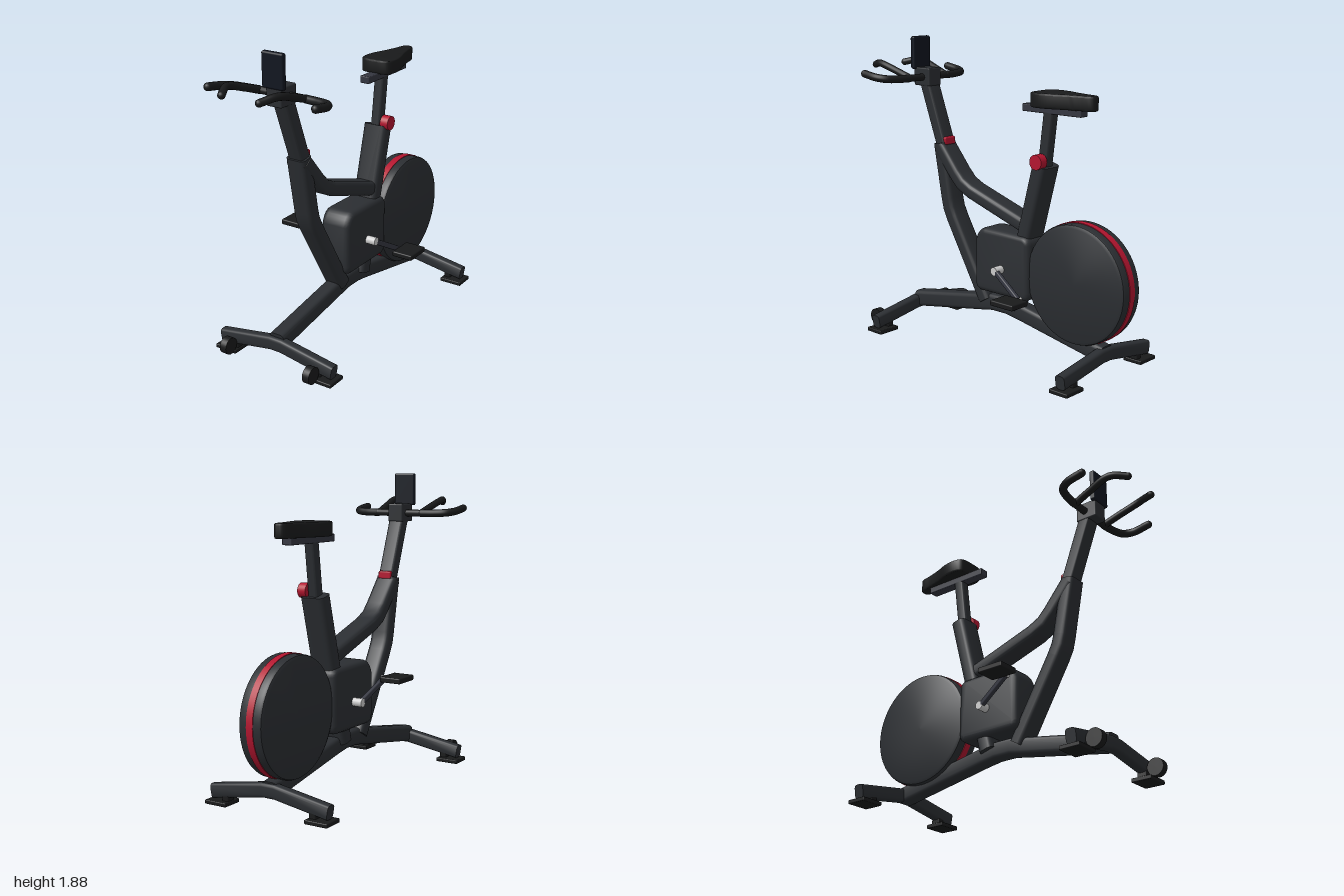
import * as THREE from 'three';
import { toCreasedNormals } from 'three/addons/utils/BufferGeometryUtils.js';
import { RoundedBoxGeometry } from 'three/addons/geometries/RoundedBoxGeometry.js';

const mat = (color) => new THREE.MeshStandardMaterial({ color });
const V = (x, y, z) => new THREE.Vector3(x, y, z);

// Rounded-rectangle tube (w across x, h deep) swept with mitres through [z, y] points
function sweep(path, w, h, r) {
  const section = [];
  [[1, 1], [-1, 1], [-1, -1], [1, -1]].forEach(([sx, sy], q) => {
    for (let k = 0; k <= 4; k++) {
      const a = (q + k / 4) * Math.PI / 2;
      section.push([sx * (w / 2 - r) + r * Math.cos(a), sy * (h / 2 - r) + r * Math.sin(a)]);
    }
  });
  const pts = path.map(([z, y]) => new THREE.Vector2(z, y));
  const dirs = pts.slice(1).map((p, i) => p.clone().sub(pts[i]).normalize());
  const m = section.length, pos = [], idx = [];
  pts.forEach((p, i) => {
    const d0 = dirs[Math.max(i - 1, 0)], d1 = dirs[Math.min(i, dirs.length - 1)];
    const t = d0.clone().add(d1).normalize(), mitre = 1 / t.dot(d1);
    for (const [a, b] of section) pos.push(a, p.y + t.x * b * mitre, p.x - t.y * b * mitre);
  });
  for (let i = 0; i < pts.length - 1; i++) {
    for (let j = 0; j < m; j++) {
      const a = i * m + j, b = i * m + (j + 1) % m;
      idx.push(a, b, b + m, a, b + m, a + m);
    }
  }
  const end = (pts.length - 1) * m;
  for (let j = 1; j < m - 1; j++) idx.push(0, j + 1, j, end, end + j, end + j + 1);
  const g = new THREE.BufferGeometry();
  g.setAttribute('position', new THREE.Float32BufferAttribute(pos, 3));
  g.setIndex(idx);
  return toCreasedNormals(g, 0.6);
}

export function createModel() {
  const root = new THREE.Group();
  const frame = mat(0x2b2e32), black = mat(0x191a1b), red = mat(0xb3152f);
  const slate = mat(0x343640), metal = mat(0xcccccc), glass = mat(0x10151f);

  const add = (name, geo, material, x = 0, y = 0, z = 0) => {
    const mesh = new THREE.Mesh(geo, material);
    mesh.name = name;
    mesh.position.set(x, y, z);
    root.add(mesh);
    return mesh;
  };
  const box = (name, material, w, h, d, x, y, z, r = 0.01) =>
    add(name, new RoundedBoxGeometry(w, h, d, 3, r), material, x, y, z);
  // Cylinder with its axis along x
  const disc = (name, material, r, width, x, y, z, seg = 32) =>
    add(name, new THREE.CylinderGeometry(r, r, width, seg).rotateZ(Math.PI / 2), material, x, y, z);
  // Straight bar between two points
  const bar = (name, material, a, b, w, h) => {
    const c = a.clone().add(b).multiplyScalar(0.5);
    const mesh = add(name, new RoundedBoxGeometry(w, h, a.distanceTo(b), 3, 0.008), material, c.x, c.y, c.z);
    mesh.lookAt(b);
  };

  // Frame tubes
  add('baseBeam', sweep([[0.72, 0.145], [0.12, 0.25], [0.04, 0.265], [-0.08, 0.265],
    [-0.18, 0.25], [-0.82, 0.13]], 0.1, 0.105, 0.025), frame);
  add('downTube', sweep([[0.48, 1.22], [0.415, 0.87], [0.4, 0.81], [0.37, 0.75], [0.09, 0.27]],
    0.13, 0.095, 0.028), frame);
  add('topTube', sweep([[0.48, 1.2], [0.345, 1.04], [0.29, 0.985], [0.21, 0.945], [-0.22, 0.805]],
    0.14, 0.09, 0.028), frame);
  add('seatTube', sweep([[-0.12, 0.27], [-0.36, 1.18]], 0.16, 0.1, 0.03), frame);
  add('handlebarStem', sweep([[0.46, 1.18], [0.62, 1.61]], 0.1, 0.08, 0.015), frame);
  add('seatPost', sweep([[-0.345, 1.1], [-0.395, 1.49]], 0.065, 0.07, 0.015), frame);
  box('stemClamp', red, 0.09, 0.05, 0.04, 0, 1.235, 0.447, 0.01);
  disc('seatKnob', red, 0.045, 0.055, 0.068, 1.205, -0.36);

  // Stabilisers and feet
  for (const [end, z] of [['front', 0.72], ['rear', -0.815]]) {
    const s = add(end + 'Stabiliser', sweep([[-0.4, 0.07], [-0.04, 0.13], [0.04, 0.13], [0.4, 0.07]],
      0.066, 0.085, 0.02), frame, 0, 0, z);
    s.rotation.y = Math.PI / 2;
    for (const side of [1, -1]) {
      box(end + 'Foot', black, 0.15, 0.025, 0.13, side * 0.345, 0.0125, z, 0.006);
      box(end + 'FootBlock', black, 0.045, 0.09, 0.06, side * 0.3, 0.06, z, 0.008);
    }
  }
  for (const side of [1, -1]) disc('transportWheel', black, 0.052, 0.045, side * 0.3, 0.065, 0.81);

  // Flywheel with a raised band round its rim
  const rim = [[0, -0.08], [0.335, -0.08], [0.352, -0.072], [0.357, -0.06],
    [0.357, 0.06], [0.352, 0.072], [0.335, 0.08], [0, 0.08]];
  const wheel = new THREE.LatheGeometry(rim.map(([r, x]) => new THREE.Vector2(r, x)), 72);
  add('flywheel', toCreasedNormals(wheel.rotateZ(Math.PI / 2), 0.5), frame, 0, 0.52, -0.64);
  disc('flywheelBand', red, 0.361, 0.044, 0, 0.52, -0.64, 72);

  // Drive housing, a rounded side outline extruded across x with bevelled cheeks
  const housing = new THREE.Shape();
  housing.moveTo(-0.08, 0.375).lineTo(0.26, 0.375).quadraticCurveTo(0.28, 0.375, 0.28, 0.4);
  housing.lineTo(0.28, 0.69).quadraticCurveTo(0.28, 0.715, 0.25, 0.715);
  housing.lineTo(-0.04, 0.72).quadraticCurveTo(-0.08, 0.72, -0.1, 0.66);
  housing.lineTo(-0.1, 0.4).quadraticCurveTo(-0.1, 0.375, -0.08, 0.375);
  const housingGeo = new THREE.ExtrudeGeometry(housing, {
    depth: 0.13, bevelThickness: 0.035, bevelSize: 0.03, bevelSegments: 3, curveSegments: 6,
  }).translate(0, 0, -0.065).rotateY(Math.PI / 2);
  add('driveHousing', toCreasedNormals(housingGeo, 0.6), frame);

  // Cranks and pedals, half a turn apart
  disc('crankAxle', metal, 0.026, 0.33, 0, 0.515, -0.095, 24);
  for (const s of [1, -1]) {
    const y = 0.515 - s * 0.125, z = -0.095 - s * 0.22;
    bar('crankArm', slate, V(s * 0.148, 0.515, -0.095), V(s * 0.19, y, z), 0.028, 0.034);
    disc('pedalSpindle', metal, 0.012, 0.07, s * 0.2, y, z, 16);
    box('pedal', black, 0.14, 0.034, 0.175, s * 0.27, y, z, 0.008);
  }

  // Saddle
  box('saddleRail', slate, 0.065, 0.045, 0.44, 0, 1.507, -0.42, 0.006);
  const half = [[0, -0.72], [0.025, -0.71], [0.045, -0.63], [0.07, -0.54], [0.102, -0.45],
    [0.11, -0.38], [0.095, -0.325], [0.06, -0.312], [0, -0.31]];
  const outline = half.concat(half.slice(1, -1).reverse().map(([x, z]) => [-x, z]));
  const curve = new THREE.CatmullRomCurve3(outline.map(([x, z]) => V(x * 0.92, -z, 0)), true);
  const saddleShape = new THREE.Shape(curve.getPoints(64).slice(0, -1).map((p) => new THREE.Vector2(p.x, p.y)));
  const saddleGeo = new THREE.ExtrudeGeometry(saddleShape, {
    depth: 0.064, bevelThickness: 0.011, bevelSize: 0.008, bevelSegments: 3,
  }).rotateX(-Math.PI / 2);
  add('saddle', toCreasedNormals(saddleGeo, 0.6), black, 0, 1.535, 0);

  // Handlebar hub, screen and grips
  box('handlebarHub', frame, 0.105, 0.115, 0.14, 0, 1.627, 0.63, 0.01);
  box('screen', glass, 0.145, 0.205, 0.036, 0, 1.775, 0.692, 0.012);
  const tube = (name, points, r) => {
    const path = new THREE.CatmullRomCurve3(points);
    add(name, new THREE.TubeGeometry(path, 40, r, 14), black);
    for (const p of [points[0], points[points.length - 1]])
      add(name + 'Cap', new THREE.SphereGeometry(r, 14, 10), black, p.x, p.y, p.z);
  };
  tube('handlebarCrossbar', [V(-0.17, 1.625, 0.622), V(0.17, 1.625, 0.622)], 0.022);
  for (const s of [1, -1]) {
    tube('outerGrip', [V(s * 0.16, 1.625, 0.622), V(s * 0.25, 1.626, 0.632), V(s * 0.32, 1.63, 0.655),
      V(s * 0.355, 1.638, 0.71), V(s * 0.36, 1.655, 0.815)], 0.024);
    tube('innerGrip', [V(s * 0.155, 1.625, 0.622), V(s * 0.165, 1.665, 0.74), V(s * 0.175, 1.7, 0.85),
      V(s * 0.165, 1.705, 0.9), V(s * 0.125, 1.688, 0.98)], 0.022);
  }
  return root;
}
